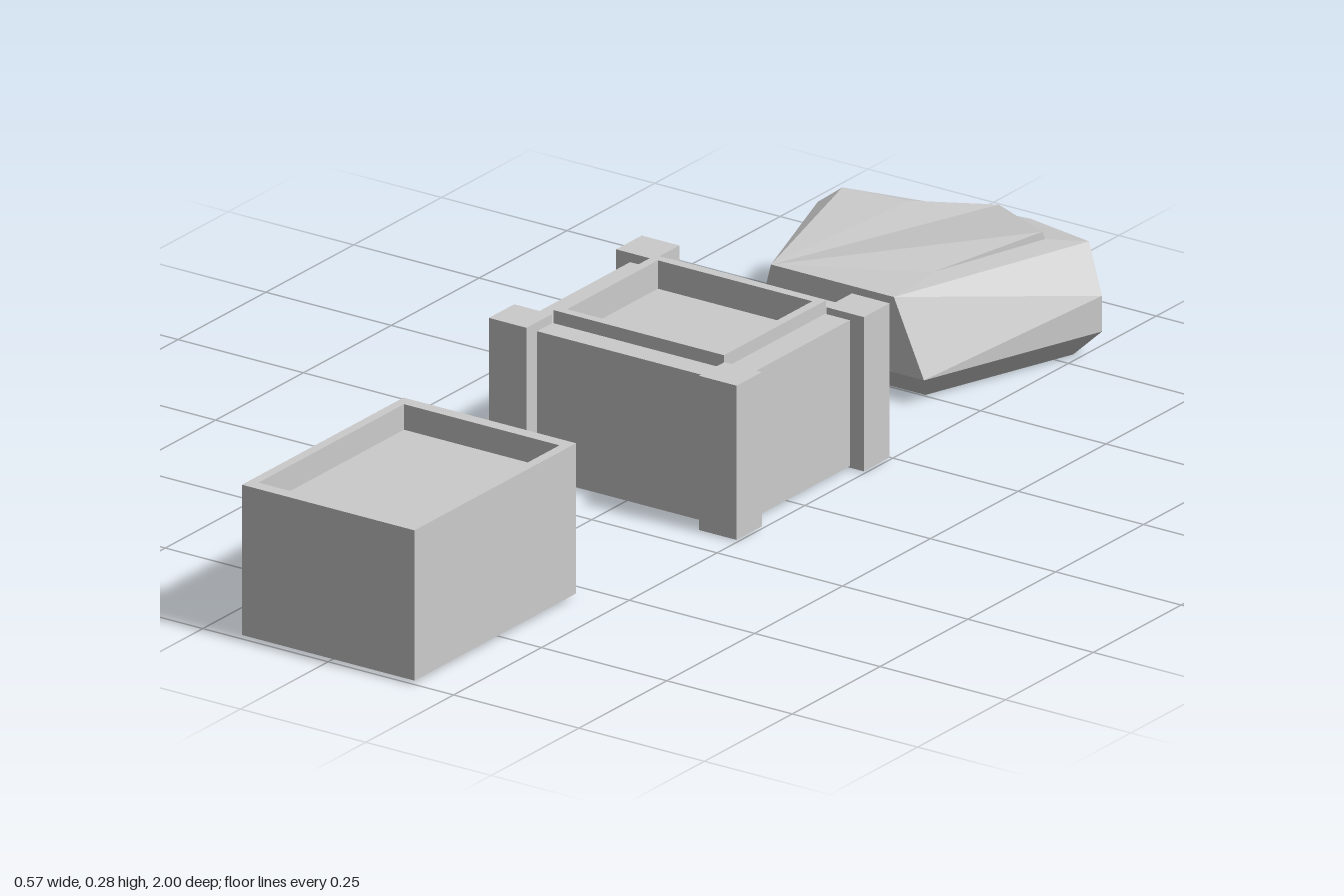
import * as THREE from 'three';

const material = new THREE.MeshStandardMaterial({ color: 0xcccccc, flatShading: true });

function add(parent, name, geometry, x = 0, y = 0, z = 0) {
  const mesh = new THREE.Mesh(geometry, material);
  mesh.name = name;
  mesh.position.set(x, y, z);
  parent.add(mesh);
  return mesh;
}

// Box spanning the given ranges
function block(parent, name, [x0, x1], [y0, y1], [z0, z1]) {
  return add(parent, name, new THREE.BoxGeometry(x1 - x0, y1 - y0, z1 - z0),
    (x0 + x1) / 2, (y0 + y1) / 2, (z0 + z1) / 2);
}

function rectangle(PathType, w, d) {
  return new PathType([[-1, -1], [1, -1], [1, 1], [-1, 1]]
    .map(([sx, sy]) => new THREE.Vector2(sx * w / 2, sy * d / 2)));
}

// Solid box with a shallow rimmed recess in its top
function recessedBox(name, w, [y0, y1], [z0, z1], wallX, wallZ, depth) {
  const group = new THREE.Group();
  group.name = name;
  const d = z1 - z0;
  block(group, name + 'Body', [-w / 2, w / 2], [y0, y1 - depth], [z0, z1]);
  const outline = rectangle(THREE.Shape, w, d);
  outline.holes.push(rectangle(THREE.Path, w - 2 * wallX, d - 2 * wallZ));
  const rim = new THREE.ExtrudeGeometry(outline, { depth, bevelEnabled: false });
  rim.rotateX(-Math.PI / 2);
  add(group, name + 'Rim', rim, 0, y1 - depth, (z0 + z1) / 2);
  return group;
}

// Planter with four side panels and corner posts
function createPlanter() {
  const group = new THREE.Group();
  group.name = 'planter';
  group.add(recessedBox('planterBox', 0.34, [0.006, 0.285], [-0.174, 0.116], 0.016, 0.016, 0.05));
  const panelY = [0.005, 0.262];
  block(group, 'frontPanel', [-0.172, 0.172], panelY, [0.116, 0.16]);
  block(group, 'backPanel', [-0.172, 0.172], panelY, [-0.222, -0.174]);
  for (const side of [-1, 1]) {
    const xs = (a, b) => (side > 0 ? [a, b] : [-b, -a]);
    block(group, 'sidePanel', xs(0.17, 0.219), panelY, [-0.174, 0.116]);
    const top = side > 0 ? 0.274 : 0.278;
    block(group, 'frontPost', xs(0.172, 0.247), [0.002, top], [0.118, 0.19]);
    block(group, 'backPost', xs(0.172, 0.247), [0.002, top], [-0.245, -0.172]);
  }
  return group;
}

// Five-sided faceted stone with a stepped, sloping top
function createStone() {
  const outline = [[-0.175, -0.46], [0.165, -0.46], [0.282, -0.8], [0, -1], [-0.285, -0.8]];
  const base = outline.map(([x, z]) => [x * 0.83, 0, -0.72 + (z + 0.72) * 0.83]);
  const waist = outline.map(([x, z]) => [x, 0.047, z]);
  const [frontLeft, frontRight, right, apex, left] = [
    [-0.14, 0.18, -0.46], [0.105, 0.18, -0.46], [0.235, 0.185, -0.83],
    [0, 0.113, -1], [-0.25, 0.17, -0.82],
  ];
  const rightCorner = [0.282, 0.11, -0.8], leftCorner = [-0.285, 0.143, -0.8];
  // Raised plateau corners and the foot of its step
  const ridge = [0.17, 0.2, -0.79], nose = [-0.015, 0.158, -0.93];
  const ridgeFoot = [0.172, 0.186, -0.795], noseFoot = [-0.015, 0.142, -0.935];
  const stepLeft = [-0.13, 0.168, -0.84], stepRight = [0.1, 0.183, -0.58];

  const positions = [];
  const face = (...p) => {
    for (let i = 1; i < p.length - 1; i++) positions.push(...p[0], ...p[i], ...p[i + 1]);
  };
  // Underside and lower bevel
  face(...[...base].reverse());
  for (let i = 0; i < 5; i++) {
    const j = (i + 1) % 5;
    face(base[i], base[j], waist[j], waist[i]);
  }
  // Sides
  face(waist[0], waist[1], frontRight, frontLeft);
  face(rightCorner, right, frontRight, waist[1], waist[2]);
  face(waist[2], waist[3], apex, right, rightCorner);
  face(apex, waist[3], waist[4], leftCorner, left);
  face(leftCorner, waist[4], waist[0], frontLeft, left);
  // Top slopes
  face(frontLeft, frontRight, stepRight, ridge, nose, stepLeft, left);
  face(frontRight, right, ridgeFoot, stepRight);
  face(right, apex, noseFoot, ridgeFoot);
  face(apex, left, stepLeft, noseFoot);
  // Plateau step
  face(stepRight, ridgeFoot, ridge);
  face(ridgeFoot, noseFoot, nose, ridge);
  face(noseFoot, stepLeft, nose);

  const geometry = new THREE.BufferGeometry();
  geometry.setAttribute('position', new THREE.Float32BufferAttribute(positions, 3));
  geometry.computeVertexNormals();
  const group = new THREE.Group();
  add(group, 'stone', geometry);
  return group;
}

export function createModel() {
  const model = new THREE.Group();
  model.name = 'stoneAndPlanters';
  model.add(recessedBox('plainBox', 0.344, [0.007, 0.272], [0.54, 1], 0.017, 0.023, 0.045));
  model.add(createPlanter());
  model.add(createStone());
  return model;
}
